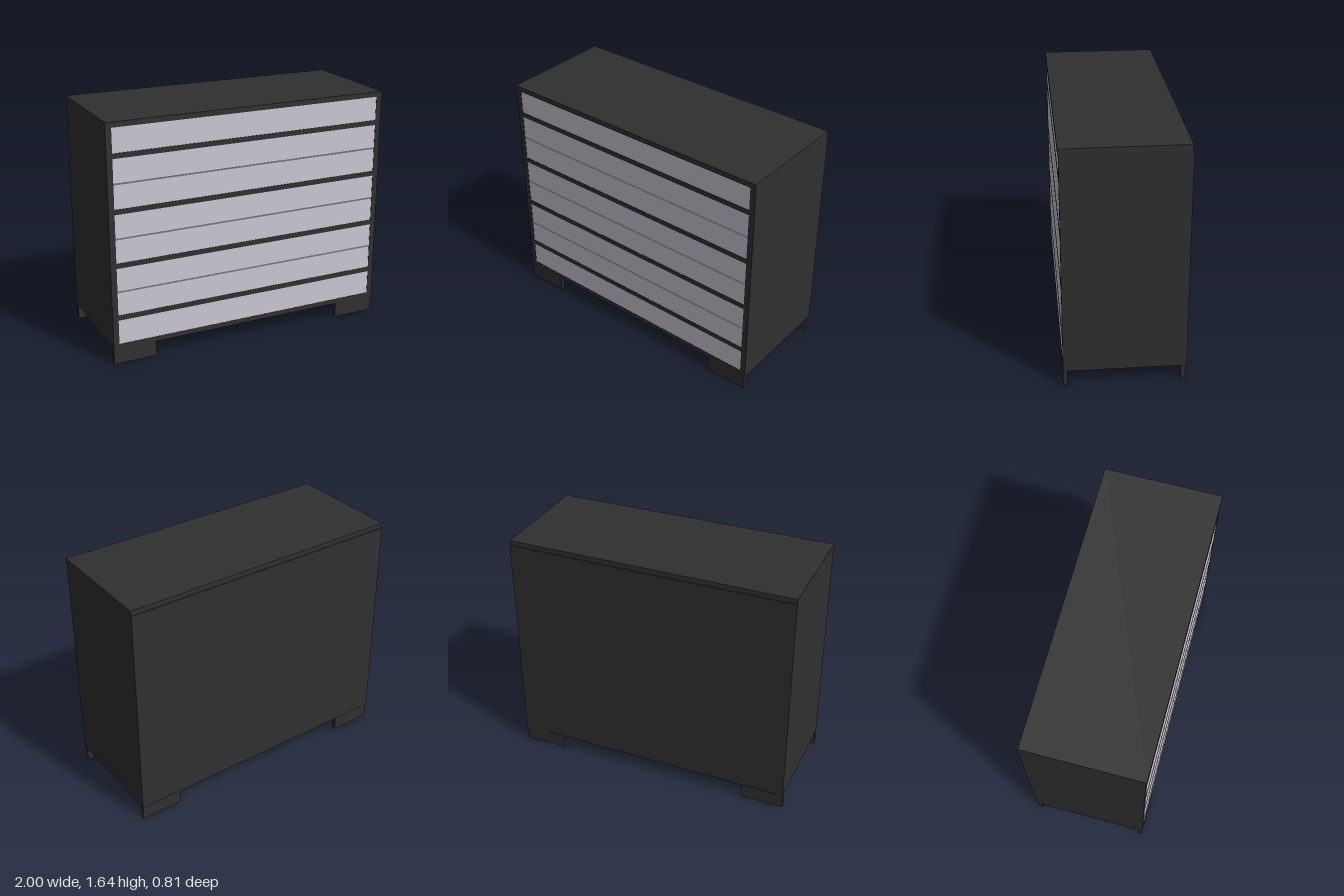
import * as THREE from 'three';

const charcoal = new THREE.MeshStandardMaterial({ color: 0x303030 });
charcoal.name = 'charcoal wood';
const lilac = new THREE.MeshStandardMaterial({ color: 0xcdc9d5 });
lilac.name = 'pale lilac drawer';

export function createModel() {
  const group = new THREE.Group();
  group.name = 'chestOfDrawers';

  // Box given by its extents on each axis
  const box = (name, material, [x0, x1], [y0, y1], [z0, z1]) => {
    const mesh = new THREE.Mesh(new THREE.BoxGeometry(x1 - x0, y1 - y0, z1 - z0), material);
    mesh.position.set((x0 + x1) / 2, (y0 + y1) / 2, (z0 + z1) / 2);
    mesh.name = name;
    group.add(mesh);
  };

  const base = 0.105, board = 0.035, topY = 1.61, inner = 0.96;
  const span = [-inner, inner];

  // Carcass
  box('top', charcoal, [-1, 1], [topY, topY + board], [-0.4, 0.405]);
  box('bottom', charcoal, span, [base, base + board], [-0.4, 0.4]);
  box('back', charcoal, [-1, 1], [base, topY], [-0.405, -0.4]);
  box('leftSide', charcoal, [inner, 1], [base, topY], [-0.4, 0.4]);
  box('rightSide', charcoal, [-1, -inner], [base, topY], [-0.4, 0.4]);

  // Rails between the drawer bands
  const rails = [0.31, 0.675, 1.041, 1.409];
  for (const y of rails) box('rail', charcoal, span, [y, y + board], [-0.4, 0.4]);

  // Drawer fronts: single at top and bottom, pairs split by a thin gap between
  const gap = 0.002;
  const drawer = (y0, y1) => box('drawerFront', lilac, span, [y0, y1], [0.365, 0.398]);
  drawer(base + board, rails[0]);
  for (let i = 0; i < 3; i++) {
    const y0 = rails[i] + board, y1 = rails[i + 1], mid = (y0 + y1) / 2;
    drawer(y0, mid - gap);
    drawer(mid + gap, y1);
  }
  drawer(rails[3] + board, topY);

  // Flat plank feet at the four corners
  for (const x of [[-1, -0.7], [0.695, 0.995]]) {
    box('frontFoot', charcoal, x, [0, base], [0.372, 0.4]);
    box('backFoot', charcoal, x, [0, base], [-0.397, -0.369]);
  }
  return group;
}
